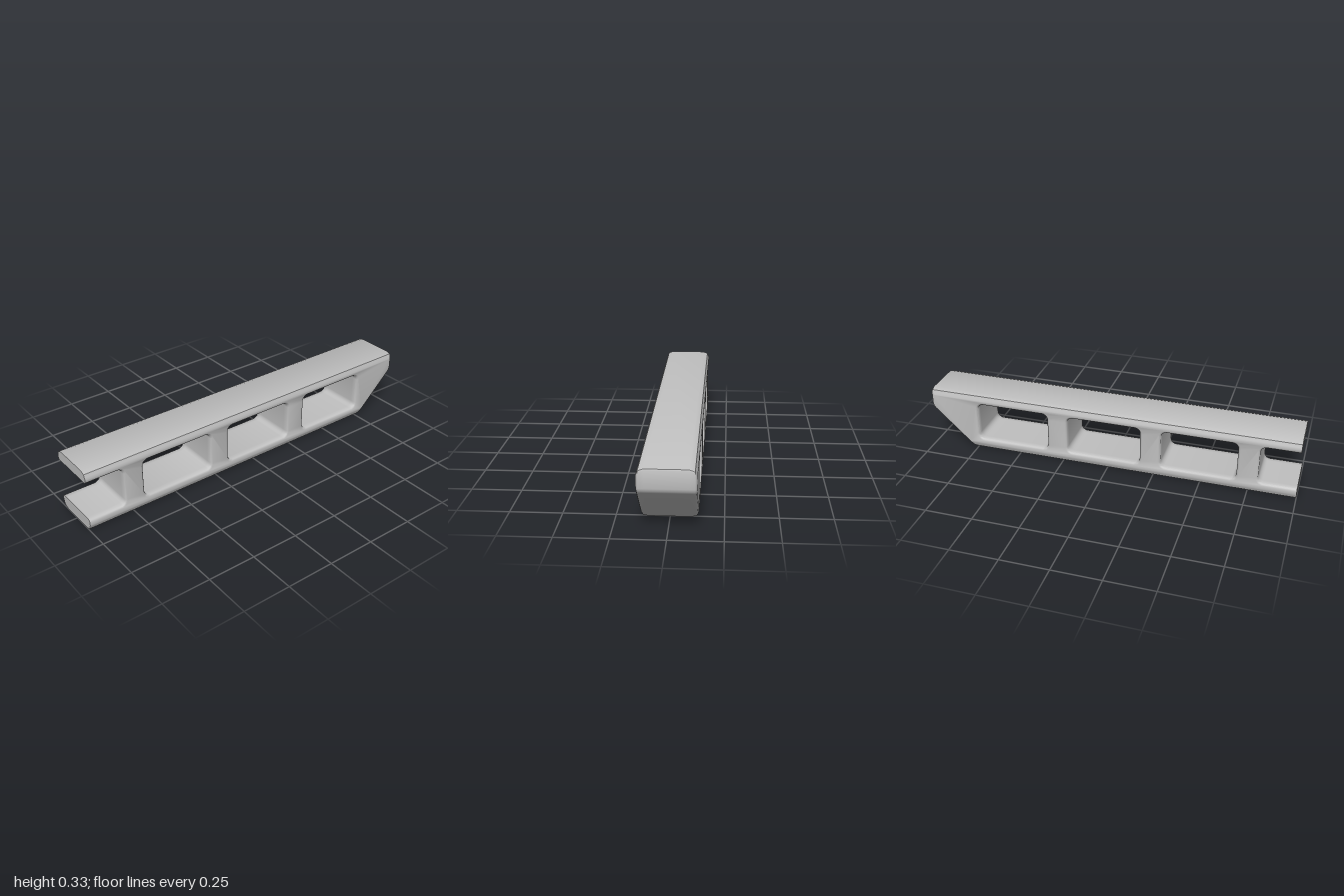
import * as THREE from 'three';
import { toCreasedNormals } from 'three/addons/utils/BufferGeometryUtils.js';

const TOP = 0.333, LOW = 0.065, HIGH = 0.275, R = 0.03;

// Points on an arc, angles in degrees
function arc(cx, cy, r, from, to, steps = 5) {
  return Array.from({ length: steps + 1 }, (_, i) => {
    const t = THREE.MathUtils.degToRad(from + (to - from) * i / steps);
    return new THREE.Vector2(cx + r * Math.cos(t), cy + r * Math.sin(t));
  });
}

// Beam outline with slanted nose and open slot; a insets top and bottom, c the other edges
function outline(a, c) {
  const v = (x, y) => new THREE.Vector2(x, y);
  const foot = 0.766 + a * 1.02 - c * 1.4, nose = 1 - c, noseY = 0.227 + c * 0.4;
  return [
    v(-1, a), v(foot - 0.018, a), v(foot, a + 0.005), v(foot + 0.014, a + 0.017),
    v(nose - 0.012, noseY - 0.012), v(nose - 0.003, noseY), v(nose, noseY + 0.013),
    v(nose, TOP - a - 0.01), v(nose - 0.003, TOP - a - 0.003), v(nose - 0.01, TOP - a),
    v(-1, TOP - a), v(-1, HIGH + c),
    ...arc(-0.8 - R, HIGH - R, R + c, 90, 0),
    ...arc(-0.8 - R, LOW + R, R + c, 0, -90),
    v(-1, LOW - c),
  ];
}

// Rounded window, widened by c, running clockwise
function windowLoop(x0, x1, c) {
  return [
    ...arc(x0 + R, HIGH - R, R + c, 180, 90),
    ...arc(x1 - R, HIGH - R, R + c, 90, 0),
    ...arc(x1 - R, LOW + R, R + c, 0, -90),
    ...arc(x0 + R, LOW + R, R + c, 270, 180),
  ];
}

function beamGeometry() {
  // Half of the edge profile, from face to middle: [z, long edge inset, small edge inset]
  const half = [[0.133, 0.035, 0.012], [0.129, 0.025, 0.004], [0.123, 0.01, 0], [0.098, 0, 0]];
  const layers = [...half.map(([z, a, c]) => [-z, a, c]), ...half.slice().reverse()];
  const windows = [-0.69, -0.18, 0.33];
  const rings = layers.map(([, a, c]) =>
    [outline(a, c), ...windows.map(x => windowLoop(x, x + 0.4, c))]);
  const count = rings[0].flat().length;
  const positions = [], index = [];
  rings.forEach((loops, k) => loops.flat().forEach(p => positions.push(p.x, p.y, layers[k][0])));

  // Walls between neighbouring layers
  for (let k = 0; k < layers.length - 1; k++) {
    let start = k * count;
    for (const loop of rings[k]) {
      for (let i = 0; i < loop.length; i++) {
        const p = start + i, q = start + (i + 1) % loop.length;
        index.push(p, q, q + count, p, q + count, p + count);
      }
      start += loop.length;
    }
  }

  // Front and back faces
  const [contour, ...holes] = rings[0];
  const last = (layers.length - 1) * count;
  for (const [i, j, k] of THREE.ShapeUtils.triangulateShape(contour, holes)) {
    index.push(last + i, last + j, last + k, i, k, j);
  }

  const geometry = new THREE.BufferGeometry();
  geometry.setAttribute('position', new THREE.Float32BufferAttribute(positions, 3));
  geometry.setIndex(index);
  return toCreasedNormals(geometry, THREE.MathUtils.degToRad(42));
}

export function createModel() {
  const grey = new THREE.MeshStandardMaterial({ color: 0xc0c0c0 });
  grey.name = 'light grey';
  const beam = new THREE.Mesh(beamGeometry(), grey);
  beam.name = 'windowedBeam';
  const model = new THREE.Group();
  model.name = 'beam';
  model.add(beam);
  return model;
}
